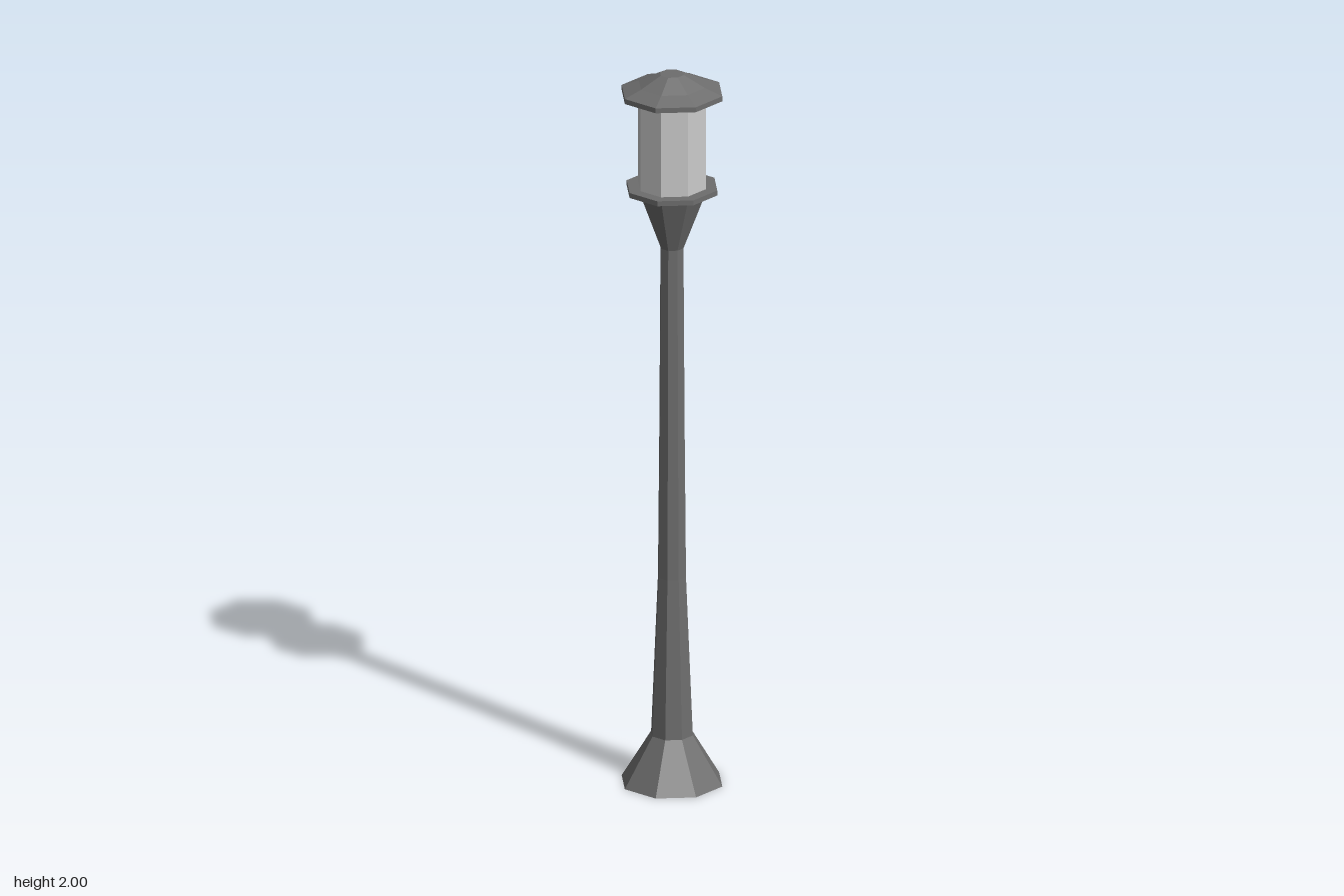
import * as THREE from 'three';

const SIDES = 8;

export function createModel() {
  const lamp = new THREE.Group();
  lamp.name = 'streetLamp';

  const metal = new THREE.MeshStandardMaterial({ color: 0x6e6e6e, flatShading: true });
  const glass = new THREE.MeshStandardMaterial({ color: 0xcccccc, flatShading: true });

  // Octagonal turned part from [radius, height] pairs, bottom to top
  function turned(name, profile, material) {
    const points = profile.map(([r, y]) => new THREE.Vector2(r, y));
    const mesh = new THREE.Mesh(new THREE.LatheGeometry(points, SIDES), material);
    mesh.name = name;
    lamp.add(mesh);
  }

  // Flared foot, closed underneath
  turned('base', [[0, 0], [0.14, 0], [0.058, 0.135]], metal);

  // Gently tapering pole
  turned('pole', [[0.058, 0.135], [0.039, 0.58], [0.035, 1.02], [0.032, 1.51]], metal);

  // Funnel that carries the lantern
  turned('neck', [[0.032, 1.51], [0.093, 1.67]], metal);

  // Thin plate under the glass
  turned('lanternPlate', [[0, 1.67], [0.126, 1.67], [0.126, 1.684], [0, 1.684]], metal);

  // Glass body
  turned('lanternGlass', [[0.094, 1.684], [0.094, 1.94]], glass);

  // Roof with a flat rim, two slopes and a flat top
  turned('roof', [[0, 1.938], [0.14, 1.938], [0.14, 1.952], [0.092, 1.97], [0.033, 2], [0, 2]], metal);

  return lamp;
}
